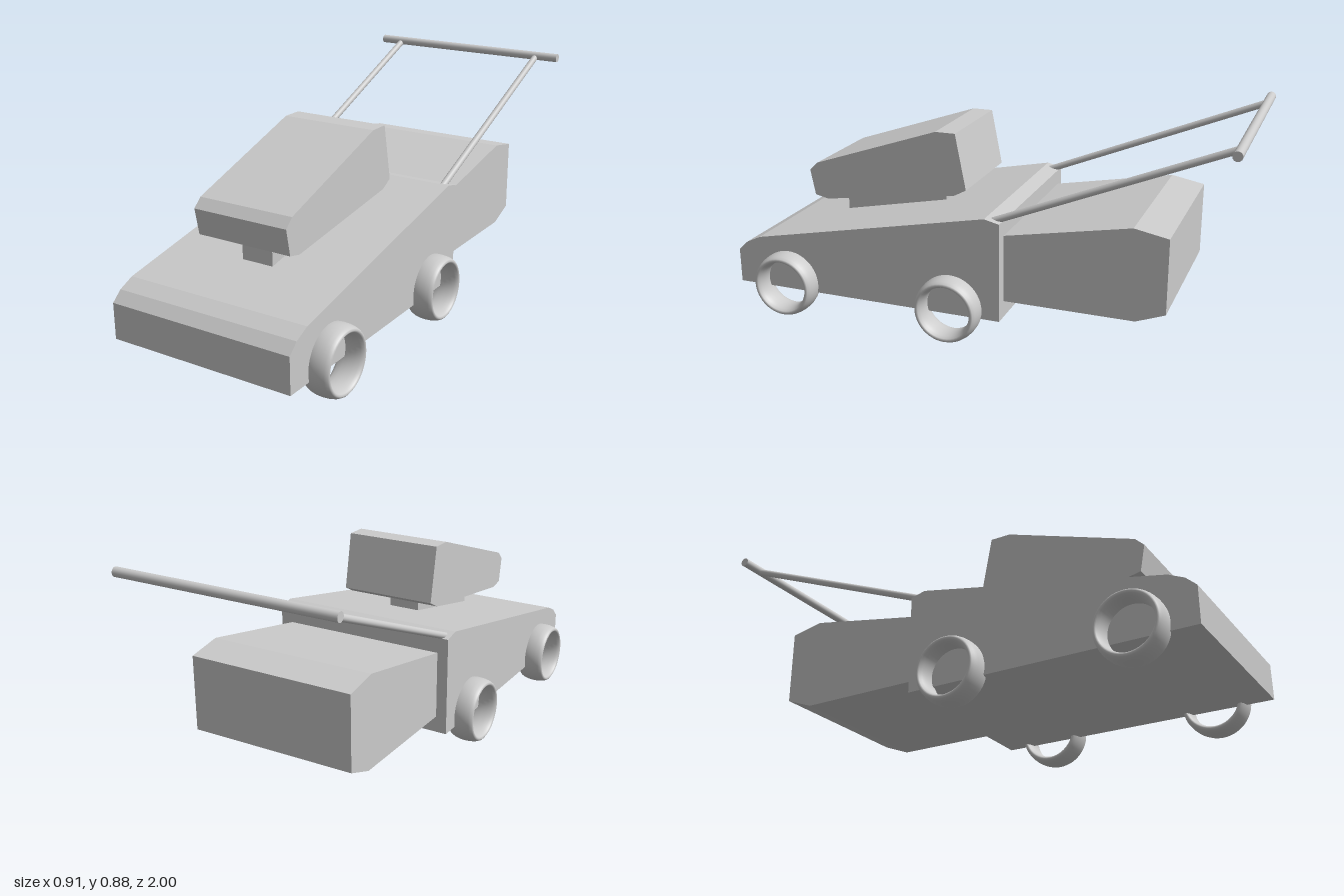
import * as THREE from 'three';

const material = new THREE.MeshStandardMaterial({ color: 0xcccccc });
const flat = new THREE.MeshStandardMaterial({ color: 0xcccccc, flatShading: true });

function add(parent, name, geometry, mat = material) {
  const mesh = new THREE.Mesh(geometry, mat);
  mesh.name = name;
  parent.add(mesh);
  return mesh;
}

// Extrudes a side profile of [z, y] points across x from x0 to x1
function sideExtrusion(profile, x0, x1) {
  const shape = new THREE.Shape(profile.map(([z, y]) => new THREE.Vector2(-z, y)));
  const geometry = new THREE.ExtrudeGeometry(shape, { depth: x1 - x0, bevelEnabled: false });
  return geometry.rotateY(Math.PI / 2).translate(x0, 0, 0);
}

// Round bar between two points
function rod(from, to, radius) {
  const a = new THREE.Vector3(...from), b = new THREE.Vector3(...to);
  const dir = b.clone().sub(a);
  const geometry = new THREE.CylinderGeometry(radius, radius, dir.length(), 20);
  geometry.applyQuaternion(
    new THREE.Quaternion().setFromUnitVectors(new THREE.Vector3(0, 1, 0), dir.normalize()));
  const mid = a.add(b).multiplyScalar(0.5);
  return geometry.translate(mid.x, mid.y, mid.z);
}

export function createModel() {
  const model = new THREE.Group();
  model.name = 'lawnMower';

  // Wedge-shaped mower deck
  add(model, 'deck', sideExtrusion([
    [1, 0.1], [1, 0.24], [0.96, 0.277], [0.9, 0.305],
    [-0.075, 0.506], [-0.135, 0.492], [-0.135, 0.1],
  ], -0.382, 0.379), flat);

  // Grass bag behind the deck
  add(model, 'grassBag', sideExtrusion([
    [-0.12, 0.165], [-0.12, 0.428], [-0.625, 0.525],
    [-0.757, 0.5], [-0.757, 0.208], [-0.645, 0.165],
  ], -0.338, 0.329), flat);

  // Engine cover on its narrow neck
  add(model, 'engineCover', sideExtrusion([
    [0.735, 0.45], [0.755, 0.553], [0.72, 0.587], [0.195, 0.766],
    [0.113, 0.766], [0.07, 0.543], [0.122, 0.515], [0.68, 0.438],
  ], -0.199, 0.198), flat);
  add(model, 'engineNeck', sideExtrusion([
    [0.657, 0.33], [0.657, 0.45], [0.21, 0.515], [0.21, 0.42],
  ], -0.068, 0.064), flat);

  // Open ring wheels, stretched along the axle
  for (const [end, z] of [['front', 0.77], ['rear', 0.065]]) {
    for (const [side, x] of [['Left', 0.398], ['Right', -0.401]]) {
      const ring = new THREE.TorusGeometry(0.1125, 0.0175, 16, 48);
      ring.scale(1, 1, 3.15).rotateY(Math.PI / 2);
      add(model, `${end}${side}Wheel`, ring).position.set(x, 0.133, z);
    }
  }

  // Sloping handle arms and the crossbar
  add(model, 'leftHandleArm', rod([0.341, 0.487, -0.09], [0.341, 0.857, -0.982], 0.0135));
  add(model, 'rightHandleArm', rod([-0.35, 0.487, -0.09], [-0.35, 0.857, -0.982], 0.0135));
  add(model, 'handleBar', rod([-0.447, 0.861, -0.982], [0.444, 0.859, -0.982], 0.018));

  return model;
}
